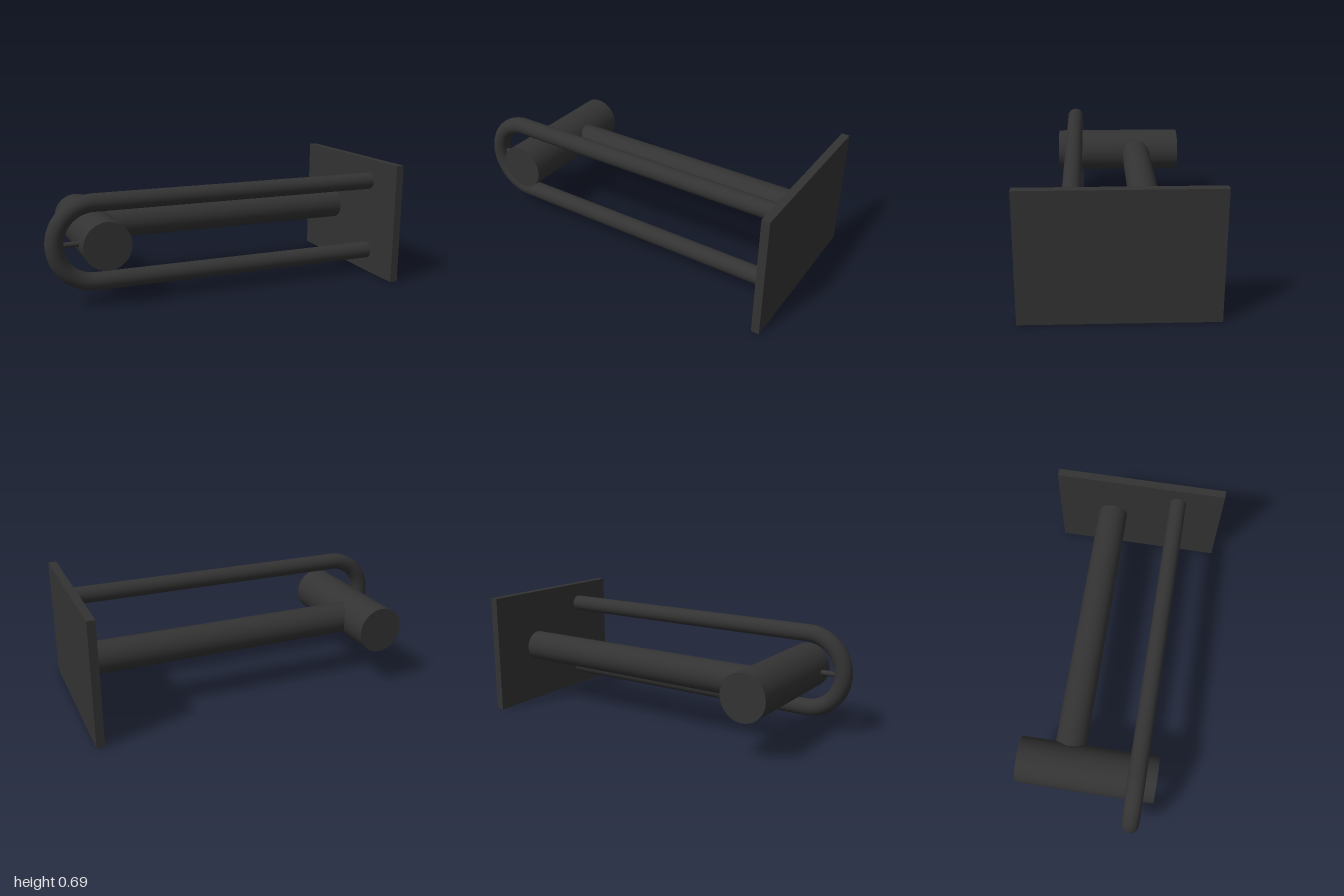
import * as THREE from 'three';

export function createModel() {
  const model = new THREE.Group();
  const darkGrey = new THREE.MeshStandardMaterial({ color: 0x333333 });
  const midY = 0.345;

  const add = (name, geometry, x, y, z) => {
    const mesh = new THREE.Mesh(geometry, darkGrey);
    mesh.name = name;
    mesh.position.set(x, y, z);
    model.add(mesh);
    return mesh;
  };

  // Cylinder lying along x between two x values
  const rodX = (name, radius, x0, x1, z) => {
    const geometry = new THREE.CylinderGeometry(radius, radius, x1 - x0, 40);
    geometry.rotateZ(Math.PI / 2);
    return add(name, geometry, (x0 + x1) / 2, midY, z);
  };

  // Wall plate
  add('wallPlate', new THREE.BoxGeometry(0.045, 0.69, 1), 0.9775, midY, 0);

  // Support arm and the cross cylinder at its end
  rodX('supportArm', 0.089, -0.69, 0.96, -0.167);
  const cross = new THREE.CylinderGeometry(0.131, 0.131, 0.78, 48);
  cross.rotateX(Math.PI / 2);
  add('crossCylinder', cross, -0.69, midY, -0.05);

  // U-shaped rail: two straight runs joined by a half circle
  const bend = 0.215, bendX = -0.735, railZ = 0.23, railRadius = 0.049;
  for (const side of [1, -1]) {
    const run = rodX(side > 0 ? 'upperRail' : 'lowerRail', railRadius, bendX, 0.96, railZ);
    run.position.y += side * bend;
  }
  const halfRing = new THREE.TorusGeometry(bend, railRadius, 24, 48, Math.PI);
  halfRing.rotateZ(Math.PI / 2);
  add('railBend', halfRing, bendX, midY, railZ);

  // Thin pin linking the bend to the cross cylinder
  rodX('linkPin', 0.015, -0.94, -0.75, railZ);

  return model;
}
